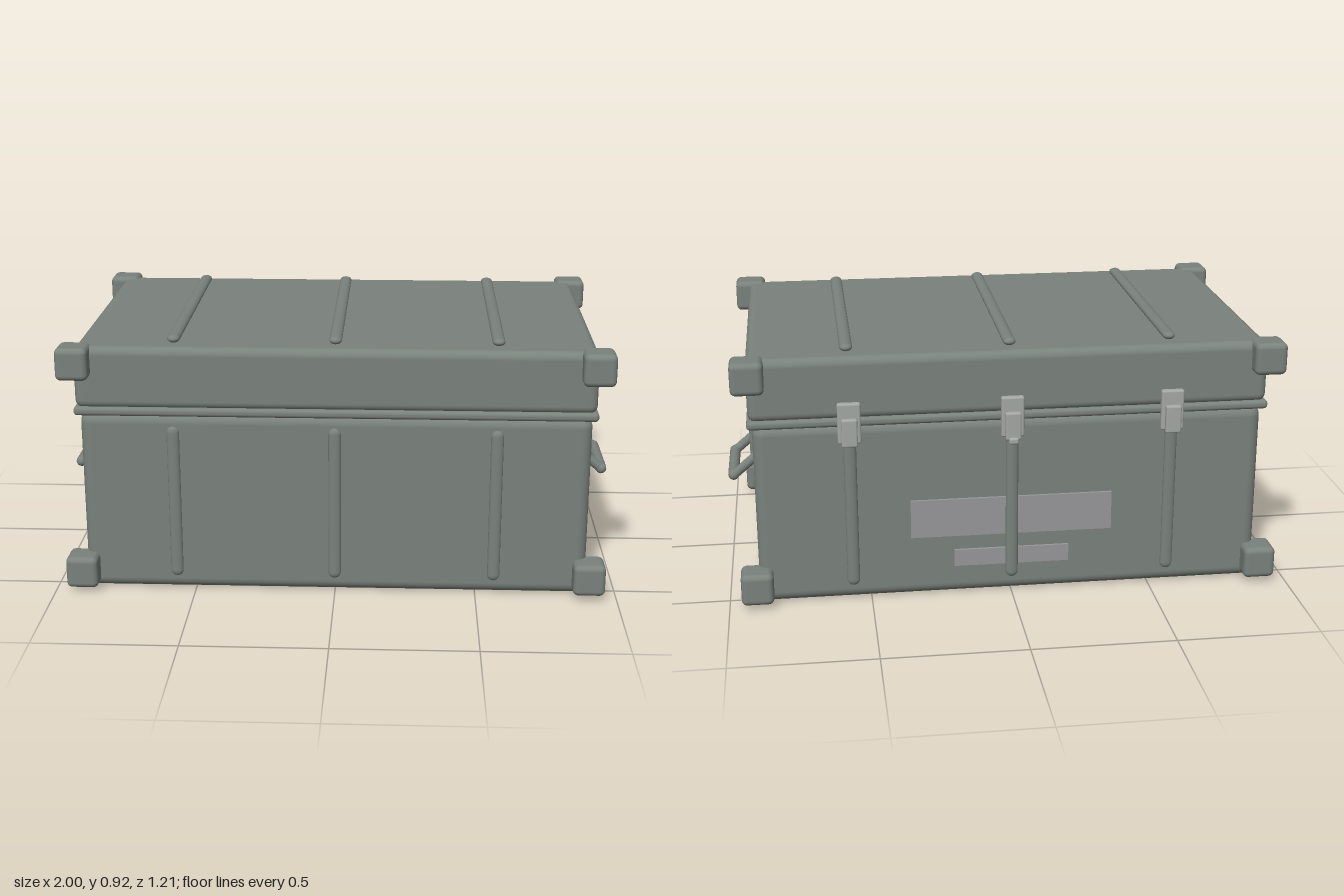
import * as THREE from 'three';
import { RoundedBoxGeometry } from 'three/addons/geometries/RoundedBoxGeometry.js';

export function createModel() {
  const chest = new THREE.Group();
  chest.name = 'storageChest';

  const paint = (name, color) => {
    const m = new THREE.MeshStandardMaterial({ color });
    m.name = name;
    return m;
  };
  const shell = paint('grey green shell', 0x7a827c);
  const metal = paint('pale latch metal', 0xa4a8a4);
  const plate = paint('grey label plate', 0x98989b);

  const add = (name, geometry, material, x, y, z, parent = chest) => {
    const mesh = new THREE.Mesh(geometry, material);
    mesh.name = name;
    mesh.position.set(x, y, z);
    parent.add(mesh);
    return mesh;
  };
  const rounded = (w, h, d, r) => new RoundedBoxGeometry(w, h, d, 4, r);

  // Round bar between two points
  const bar = (name, a, b, r, parent) => {
    const dir = b.clone().sub(a);
    const mid = a.clone().add(b).multiplyScalar(0.5);
    const mesh = add(name, new THREE.CapsuleGeometry(r, dir.length(), 6, 16), shell, mid.x, mid.y, mid.z, parent);
    mesh.quaternion.setFromUnitVectors(new THREE.Vector3(0, 1, 0), dir.normalize());
  };

  // Main box, seam rim and lid
  add('body', rounded(1.786, 0.66, 1.076, 0.04), shell, 0, 0.33, 0);
  add('rim', rounded(1.82, 0.032, 1.108, 0.014), shell, 0, 0.668, 0);
  add('lid', rounded(1.81, 0.222, 1.096, 0.03), shell, 0, 0.787, 0);

  // Corner guards
  for (const x of [-0.9, 0.9])
    for (const y of [0.078, 0.848])
      for (const z of [-0.547, 0.547])
        add('cornerGuard', rounded(0.113, 0.115, 0.113, 0.02), shell, x, y, z);

  // Flattened ribs on front, back and lid, with a latch above each back rib
  const ribX = [-0.563, 0, 0.563];
  const standingRib = new THREE.CapsuleGeometry(0.022, 0.516, 6, 16).scale(1, 1, 0.62);
  const lidRib = new THREE.CapsuleGeometry(0.022, 0.926, 6, 16).scale(1, 1, 0.62).rotateX(Math.PI / 2);
  for (const x of ribX) {
    add('frontRib', standingRib, shell, x, 0.34, 0.556);
    add('backRib', standingRib, shell, x, 0.34, -0.549);
    add('lidRib', lidRib, shell, x, 0.911, 0);

    const latch = new THREE.Group();
    latch.name = 'latch';
    latch.position.x = x;
    chest.add(latch);
    add('latchBase', rounded(0.08, 0.145, 0.026, 0.007), metal, 0, 0.668, -0.555, latch);
    add('latchLever', rounded(0.055, 0.1, 0.024, 0.007), metal, 0, 0.64, -0.577, latch);
    if (x === 0) add('latchTab', rounded(0.034, 0.024, 0.05, 0.008), metal, 0, 0.59, -0.576, latch);
  }

  // Label plates on the back
  add('largeLabel', new THREE.BoxGeometry(0.715, 0.14, 0.009), plate, 0, 0.295, -0.5425);
  add('smallLabel', new THREE.BoxGeometry(0.41, 0.062, 0.009), plate, 0, 0.14, -0.5425);

  // Drop handles on both ends
  for (const s of [-1, 1]) {
    const handle = new THREE.Group();
    handle.name = s > 0 ? 'leftHandle' : 'rightHandle';
    chest.add(handle);
    add('handlePlate', rounded(0.034, 0.127, 0.204, 0.008), shell, s * 0.899, 0.463, 0, handle);
    const point = (x, y, z) => new THREE.Vector3(s * x, y, z);
    for (const z of [-0.131, 0.131])
      bar('handleArm', point(0.893, 0.408, z), point(0.978, 0.336, z), 0.017, handle);
    bar('handleGrip', point(0.98, 0.336, -0.131), point(0.98, 0.336, 0.131), 0.02, handle);
  }

  return chest;
}
